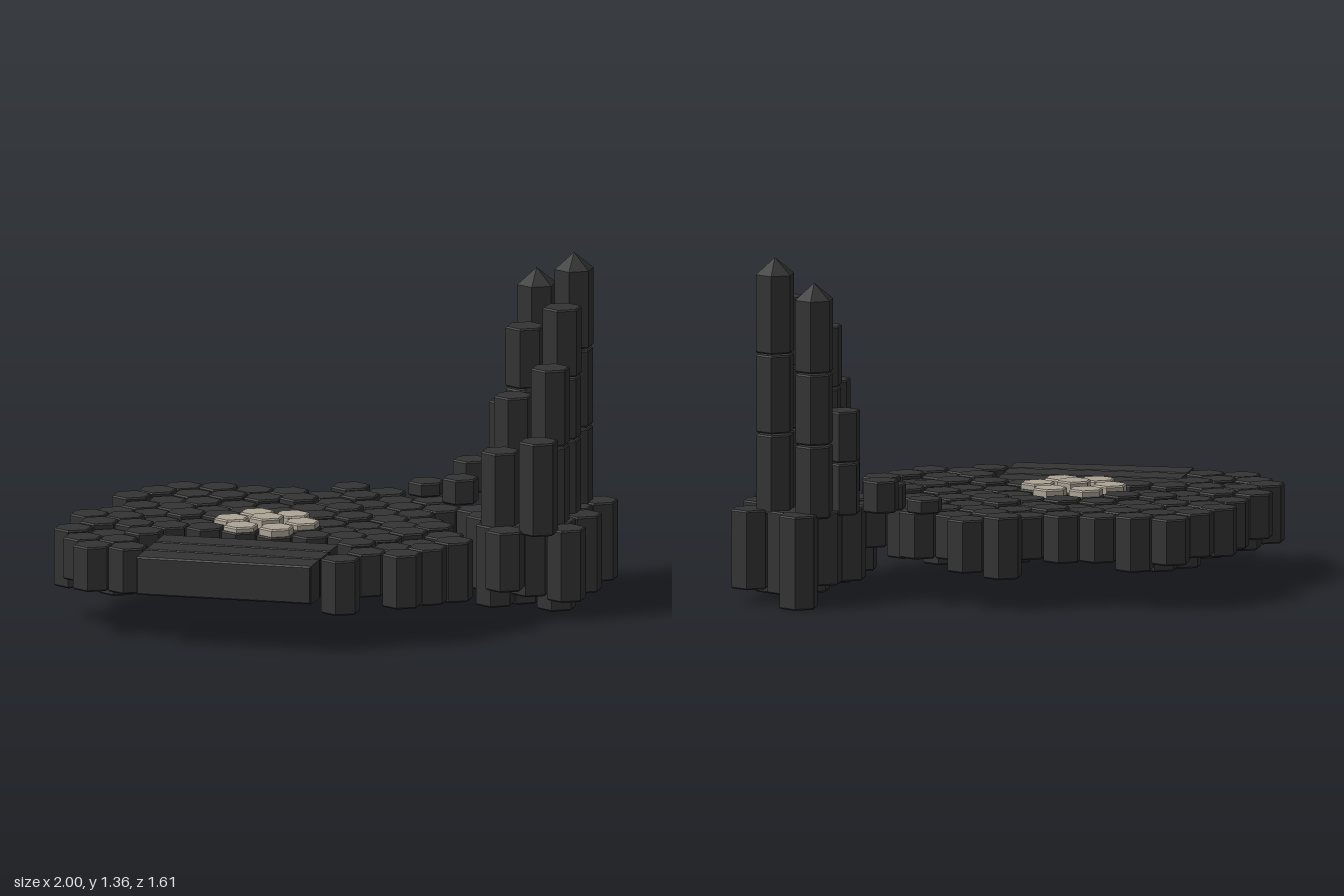
import * as THREE from 'three';

const DX = 0.1432, DZ = 0.1243, X0 = -0.93, Z0 = 0.138;

export function createModel() {
  const model = new THREE.Group();
  const stone = new THREE.MeshStandardMaterial({ color: 0x343434 });
  const sand = new THREE.MeshStandardMaterial({ color: 0xaea698 });

  let seed = 7;
  const rand = (a, b) => {
    seed = (seed * 16807) % 2147483647;
    return a + (b - a) * seed / 2147483647;
  };

  // Six-sided prism with a small bevel, or a pointed tip of height tip
  const hex = (parent, name, x, z, y0, y1, r, mat = stone, tip = 0) => {
    const b = 0.006;
    const pts = [[0, y0], [r - b, y0], [r, y0 + b]];
    if (tip) pts.push([r, y1 - tip], [0, y1]);
    else pts.push([r, y1 - b], [r - b, y1], [0, y1]);
    const geo = new THREE.LatheGeometry(pts.map(p => new THREE.Vector2(p[0], p[1])), 6).toNonIndexed();
    geo.computeVertexNormals();
    const mesh = new THREE.Mesh(geo, mat);
    mesh.name = name;
    mesh.position.set(x, 0, z);
    parent.add(mesh);
  };
  const group = name => {
    const g = new THREE.Group();
    g.name = name;
    model.add(g);
    return g;
  };
  // Lattice position of a row and column; odd rows shift half a step
  const cell = (row, col) => [X0 + DX * (col + (row % 2 ? 0.5 : 0)), Z0 + DZ * row];

  // Terrace floor: [row, first column, last column]
  const terrace = group('terrace');
  const rows = [
    [-6, 6, 7], [-5, 1, 8], [-4, 1, 10], [-3, 0, 8], [-2, 1, 9], [-1, 0, 9],
    [0, 0, 10], [1, 0, 10], [2, 0, 2], [2, 8, 10], [3, 0, 1], [3, 8, 9], [4, 1, 2], [4, 8, 8],
  ];
  for (const [row, first, last] of rows)
    for (let col = first; col <= last; col++) {
      const [x, z] = cell(row, col);
      hex(terrace, 'terraceHexagon', x, z, rand(0.125, 0.2), rand(0.35, 0.372), 0.079);
    }

  // Base below the towers: [row, first column, bottom heights]
  const island = group('towerBase');
  const base = [
    [-7, 11, [0]], [-6, 11, [0.08, 0.04, 0.055]], [-5, 10, [0.08, 0.03, 0.025]],
    [-4, 11, [0.05, 0.02, 0.06]], [-3, 10, [0.08, 0.03, 0.01]],
    [-2, 11, [0.04, 0.09, 0.075]], [-1, 11, [0.13]],
  ];
  for (const [row, first, bottoms] of base)
    bottoms.forEach((bottom, i) => {
      const [x, z] = cell(row, first + i);
      hex(island, 'baseHexagon', x, z, bottom, rand(0.36, 0.37), 0.079);
    });

  // Towers: x, z, heights of joints and top, radius, tip height
  const towers = [
    [0.84, -0.03, [0.72], 0.079, 0],
    [0.84, -0.215, [0.67, 0.975], 0.079, 0],
    [0.84, -0.395, [0.66, 0.91, 1.18], 0.079, 0],
    [0.84, -0.577, [0.67, 0.985, 1.36], 0.079, 0.065],
    [0.665, -0.11, [0.655], 0.079, 0],
    [0.67, -0.29, [0.6, 0.84], 0.079, 0],
    [0.67, -0.47, [0.6, 0.84, 1.08], 0.079, 0],
    [0.67, -0.65, [0.64, 0.925, 1.275], 0.079, 0.065],
    [0.575, -0.555, [0.56, 0.76], 0.073, 0],
  ];
  for (const [x, z, tops, r, tip] of towers) {
    const tower = group('tower');
    let y = 0.35;
    tops.forEach((top, i) => {
      const last = i === tops.length - 1;
      hex(tower, 'towerSegment', x, z, y, top - (last ? 0 : 0.006), last ? r : r * 0.97, stone, last ? tip : 0);
      y = top;
    });
  }

  // Loose steps leading to the towers
  const steps = group('steps');
  hex(steps, 'step', 0.25, -0.55, 0.365, 0.42, 0.073);
  hex(steps, 'step', 0.41, -0.465, 0.36, 0.46, 0.073);
  hex(steps, 'step', 0.41, -0.627, 0.375, 0.5, 0.073);

  // Pale plates with a raised centre
  const pads = group('pads');
  for (const [row, col] of [[-1, 4], [-1, 5], [0, 4], [0, 5], [0, 6], [1, 4], [1, 5]]) {
    const [x, z] = cell(row, col);
    const centre = row === 0 && col === 5;
    hex(pads, centre ? 'centrePad' : 'pad', x, z, 0.345, centre ? 0.397 : 0.385, 0.07, sand);
  }

  // Long front planks with bevelled edges
  const b = 0.006;
  for (let i = 0; i < 3; i++) {
    const w = 0.706 / 2 - b, h = 0.152 / 2 - b;
    const shape = new THREE.Shape([[-w, -h], [w, -h], [w, h], [-w, h]].map(p => new THREE.Vector2(p[0], p[1])));
    const geo = new THREE.ExtrudeGeometry(shape, {
      depth: 0.139 - 2 * b, bevelThickness: b, bevelSize: b, bevelSegments: 1, curveSegments: 1,
    });
    const plank = new THREE.Mesh(geo, stone);
    plank.name = 'plank';
    plank.position.set(-0.214, 0.276, 0.37 + b + i * 0.1455);
    model.add(plank);
  }
  return model;
}
